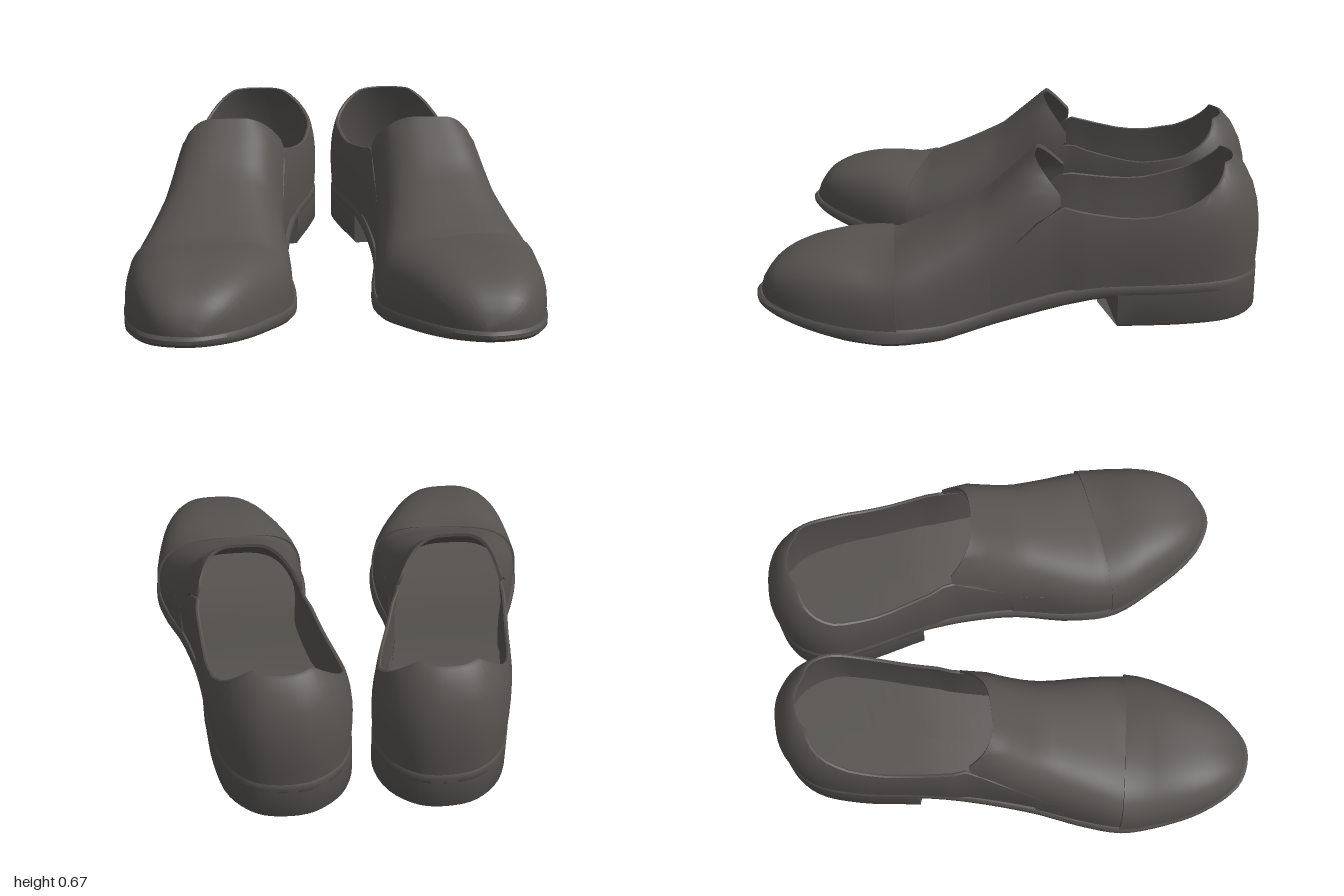
import * as THREE from 'three';
import { toCreasedNormals } from 'three/addons/utils/BufferGeometryUtils.js';

const leather = new THREE.MeshStandardMaterial({ color: 0x55524f, side: THREE.DoubleSide });
leather.name = 'dark leather';

// Sole outline [x, z] from the toe along the inner side, round the heel and back
const OUTLINE = [
  [0.53, 1], [0.42, 0.945], [0.34, 0.86], [0.26, 0.73], [0.165, 0.53], [0.155, 0.35], [0.185, 0.08],
  [0.17, -0.13], [0.13, -0.35], [0.065, -0.59], [0.04, -0.75], [0.09, -0.89], [0.2, -0.975],
  [0.32, -0.99], [0.43, -0.965], [0.53, -0.87], [0.59, -0.69], [0.625, -0.43], [0.66, -0.22],
  [0.725, 0.05], [0.79, 0.24], [0.84, 0.42], [0.83, 0.61], [0.795, 0.78], [0.71, 0.94], [0.62, 0.992],
];
const SUB = 4, HEEL = 13;
const curve = new THREE.CatmullRomCurve3(OUTLINE.map(([x, z]) => new THREE.Vector3(x, 0, z)), true);
const outline = curve.getPoints(OUTLINE.length * SUB);

// Piecewise linear lookup in rising [key, value] pairs
function table(pairs) {
  return (t) => {
    if (t <= pairs[0][0]) return pairs[0][1];
    for (let i = 1; i < pairs.length; i++) {
      const [a, va] = pairs[i - 1], [b, vb] = pairs[i];
      if (t <= b) return va + (vb - va) * (t - a) / (b - a || 1);
    }
    return pairs[pairs.length - 1][1];
  };
}
const zx = (p) => [p.z, p.x];
const byKey = (a, b) => a[0] - b[0];
const innerX = table(outline.slice(0, HEEL * SUB + 1).map(zx).sort(byKey));
const outerX = table(outline.slice(HEEL * SUB).map(zx).sort(byKey));

// Side profiles, height by z
const soleBottom = table([[-1, 0.13], [-0.35, 0.13], [-0.2, 0.105], [0.05, 0.05], [0.25, 0.004],
  [0.45, 0], [0.6, 0.012], [0.8, 0.05], [1, 0.09]]);
const soleTop = table([[-1, 0.19], [-0.35, 0.185], [-0.2, 0.165], [0, 0.12], [0.15, 0.085],
  [0.25, 0.066], [0.4, 0.065], [0.6, 0.075], [0.8, 0.1], [1, 0.13]]);
const ridge = table([[-0.1, 0.675], [0, 0.585], [0.1, 0.495], [0.2, 0.44], [0.3, 0.388], [0.47, 0.312],
  [0.55, 0.318], [0.65, 0.322], [0.75, 0.31], [0.82, 0.293], [0.88, 0.268], [0.92, 0.242], [0.96, 0.195], [0.98, 0.14]]);
const collar = table([[-0.92, 0.625], [-0.8, 0.54], [-0.7, 0.49], [-0.55, 0.455], [-0.45, 0.455],
  [-0.3, 0.48], [-0.2, 0.505], [0.06, 0.29], [0.1, 0.24]]);
// Back edge of the vamp and tongue: z by relative height
const tongueEdge = table([[0.42, 0.06], [0.66, -0.2], [0.75, -0.205], [0.9, -0.14], [1, -0.095]]);
const upperScale = table([[-0.3, 0.985], [0.2, 0.955]]);
const base = (z) => soleTop(z) - 0.006;

// Pull a plan point towards the centre line of the foot
function pull(p, k) {
  const z = THREE.MathUtils.clamp(p.z, -0.7, 0.6);
  const x = (innerX(z) + outerX(z)) / 2;
  return { x: x + (p.x - x) * k, z: z + (p.z - z) * k };
}

// Skin rows of points; the normals face out when rows run upwards or backwards
function skin(rows, closed, side, crease = 0.75) {
  const n = rows[0].length, pos = [], idx = [];
  rows.forEach((r) => r.forEach(([x, y, z]) => pos.push(x * side, y, z)));
  for (let i = 0; i < rows.length - 1; i++) {
    for (let j = 0; j < (closed ? n : n - 1); j++) {
      const a = i * n + j, b = i * n + (j + 1) % n, c = a + n, d = b + n;
      if (side > 0) idx.push(a, c, b, b, c, d);
      else idx.push(a, b, c, b, d, c);
    }
  }
  const g = new THREE.BufferGeometry();
  g.setAttribute('position', new THREE.Float32BufferAttribute(pos, 3));
  g.setIndex(idx);
  return toCreasedNormals(g, crease);
}

// Rings of a plan loop, each [inward scale, height by z]
const rings = (loop, specs) => specs.map(([k, y]) => loop.map((p) => {
  const q = pull(p, k);
  return [q.x, y(q.z), q.z];
}));

// Point on the arched upper: z, angle over the foot, thickness scale
function arch(z, a, k) {
  const zz = z > 0.6 ? 0.6 + (z - 0.6) / 0.95 : z;
  const xi = innerX(zz), xo = outerX(zz), c = Math.cos(a);
  const half = (xo - xi) / 2 * upperScale(z) * k;
  const b = base(z), h = (ridge(z) - b) * (1 + (k - 1) * 0.6);
  return [(xi + xo) / 2 + half * Math.sign(c) * Math.abs(c) ** (2 / 3),
    b + h * Math.max(0, Math.sin(a)) ** (2 / 3), z];
}
const ANGLES = Array.from({ length: 49 }, (_, i) => Math.PI * i / 48);
const capLine = (a) => {
  const c = Math.cos(a);
  return 0.46 - 0.05 * Math.sign(c) * Math.abs(c) ** (2 / 3);
};

function makeShoe(side) {
  const shoe = new THREE.Group();
  shoe.name = side > 0 ? 'leftShoe' : 'rightShoe';
  const add = (name, geometry) => {
    const mesh = new THREE.Mesh(geometry, leather);
    mesh.name = name;
    shoe.add(mesh);
  };
  const loop = outline.slice(0, -1);

  // Sole with softened edges
  add('sole', skin(rings(loop, [
    [0, soleBottom], [0.5, soleBottom], [0.96, soleBottom],
    [1, (z) => soleBottom(z) + 0.014], [1, (z) => soleTop(z) - 0.012],
    [0.97, soleTop], [0.5, soleTop], [0, soleTop],
  ]), true, side));

  // Heel block with a slanted front face
  const heelLoop = loop.filter((p) => p.z <= -0.349 - 0.08 * (p.x - 0.13) / 0.495);
  add('heel', skin(rings(heelLoop, [
    [0, () => 0.01], [0.97, () => 0.01], [1, () => 0.022], [1, () => 0.16],
  ]), true, side));

  // Insole inside the opening
  const insoleY = (z) => soleTop(z) + 0.018;
  add('insole', skin(rings(loop, [
    [0.89, soleTop], [0.88, insoleY], [0.5, insoleY], [0, insoleY],
  ]), true, side));

  // Quarter: wall round the heel with a thick collar
  const wall = outline.slice(6 * SUB - 2, 19 * SUB + 3);
  const levels = [0, 0.15, 0.3, 0.45, 0.6, 0.75, 0.9, 1].map((v) => [v, 0]);
  levels.push([1.012, 0.025], [1, 0.055], [0.6, 0.06], [0, 0.06]);
  add('quarter', skin(levels.map(([v, inset]) => wall.map((p) => {
    const b = base(p.z), y = b + (collar(p.z) - b) * v;
    const r = (y - b) / (ridge(p.z) - b);
    const lean = Math.cbrt(Math.max(0, 1 - r ** 3)) * (1 + 0.04 * Math.sin(Math.PI * Math.min(1, r)));
    const tuck = p.z > -0.25 ? 0.965 : 1;
    const q = pull(p, upperScale(p.z) * tuck * lean - inset);
    return [q.x, y, q.z];
  })), false, side));

  // Vamp rising into the tongue, with a turned back edge
  const vampRows = Array.from({ length: 15 }, (_, i) => [i / 14, 1]);
  vampRows.push([1, 0.955], [0.85, 0.95], [0.6, 0.95]);
  add('vamp', skin(vampRows.map(([s, k]) => ANGLES.map((a) => {
    const back = tongueEdge(Math.max(0, Math.sin(a)) ** (2 / 3));
    return arch(THREE.MathUtils.lerp(capLine(a) + 0.02, back, s), a, k);
  })), false, side));

  // Toe cap, slightly raised over the vamp
  const capRows = Array.from({ length: 15 }, (_, i) => [(i / 14) ** 1.8, 1.03]);
  capRows.push([1, 0.98]);
  add('toeCap', skin(capRows.map(([s, k]) => ANGLES.map((a) =>
    arch(THREE.MathUtils.lerp(0.98, capLine(a), s), a, k))), false, side));

  return shoe;
}

export function createModel() {
  const model = new THREE.Group();
  model.name = 'pairOfShoes';
  model.add(makeShoe(1), makeShoe(-1));
  return model;
}
